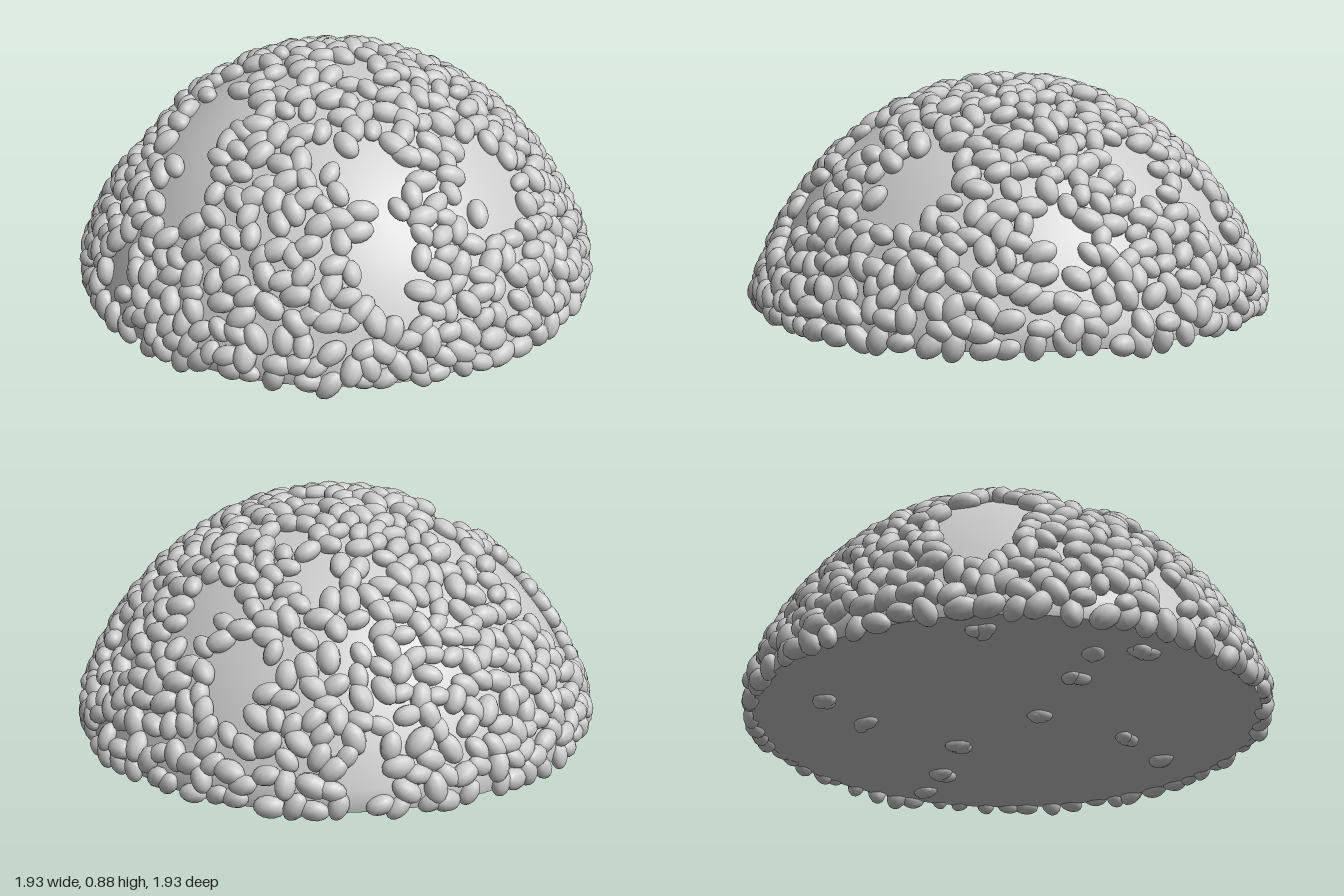
import * as THREE from 'three';
import { mergeGeometries } from 'three/addons/utils/BufferGeometryUtils.js';

// Small seeded generator
let seed = 7;
function rnd() {
  seed = (seed * 1664525 + 1013904223) % 4294967296;
  return seed / 4294967296;
}
const between = (a, b) => a + (b - a) * rnd();

const BASE_Y = 0.05;
const material = new THREE.MeshStandardMaterial({ color: 0xcccccc });

// Dome outline from apex to rim (radius, height)
const outline = new THREE.SplineCurve([
  [0, 0.845], [0.2, 0.822], [0.4, 0.75], [0.6, 0.612], [0.75, 0.445],
  [0.85, 0.28], [0.91, 0.14], [0.928, 0.08], [0.92, BASE_Y],
].map(([r, y]) => new THREE.Vector2(r, y)));

// Bare patches of the dome, seen from above: x, z, radius
const bare = [
  [-0.66, 0.24, 0.17], [-0.26, 0.42, 0.15], [-0.2, 0.64, 0.11], [0, -0.75, 0.1],
  [-0.12, -0.42, 0.08], [0.66, 0.02, 0.13], [0.6, -0.5, 0.07], [0.4, 0.36, 0.12],
  [0.56, 0.52, 0.11], [0.09, 0.02, 0.09], [0.2, -0.58, 0.1], [-0.52, -0.78, 0.1],
  [-0.42, 0.04, 0.08], [-0.4, 0.78, 0.08], [-0.08, 0.2, 0.07], [0.04, -0.3, 0.08],
  [0.42, -0.12, 0.06], [-0.3, 0.2, 0.1],
];

// One egg-shaped seed lying flat on a surface with the given normal
function seedGeometry(position, normal, size = 1, tilt = 0.25) {
  const g = new THREE.SphereGeometry(1, 10, 8);
  const k = size * between(0.88, 1.12);
  g.rotateZ(Math.PI / 2);
  g.scale(0.054 * k, 0.034 * k, 0.038 * k);
  g.rotateX(between(-tilt, tilt));
  g.rotateZ(between(-tilt, tilt));
  g.rotateY(between(0, Math.PI * 2));
  g.applyQuaternion(new THREE.Quaternion().setFromUnitVectors(new THREE.Vector3(0, 1, 0), normal));
  const p = position.clone().addScaledVector(normal, 0.014);
  return g.translate(p.x, p.y, p.z);
}

// Position and outward normal on the dome
function domePoint(t, angle) {
  const p = outline.getPointAt(t);
  const d = outline.getTangentAt(t);
  const c = Math.cos(angle), s = Math.sin(angle);
  return {
    position: new THREE.Vector3(p.x * c, p.y, p.x * s),
    normal: new THREE.Vector3(-d.y * c, d.x, -d.y * s).normalize(),
  };
}

function domeSeeds(count) {
  const list = [], placed = [];
  for (let tries = 0; tries < 12000 && list.length < count; tries++) {
    const t = between(0, 0.95);
    const angle = between(0, Math.PI * 2);
    if (rnd() > outline.getPointAt(t).x / 0.93) continue;
    const { position, normal } = domePoint(t, angle);
    if (bare.some(([x, z, r]) => Math.hypot(position.x - x, position.z - z) < r)) continue;
    if (placed.some((q) => q.distanceTo(position) < 0.057)) continue;
    placed.push(position);
    list.push(seedGeometry(position, normal));
  }
  return list;
}

function rimSeeds(count) {
  return Array.from({ length: count }, (_, i) => {
    const a = ((i + between(-0.3, 0.3)) / count) * Math.PI * 2;
    const position = new THREE.Vector3(0.915 * Math.cos(a), between(0.06, 0.085), 0.915 * Math.sin(a));
    const normal = new THREE.Vector3(Math.cos(a), between(-0.25, 0.1), Math.sin(a)).normalize();
    return seedGeometry(position, normal);
  });
}

// Little clumps under the base: sideways and depth along the diagonals
function baseClumps() {
  const spots = [
    [0.09, 0.8], [0.09, 0.59], [0.09, 0.27], [-0.47, 0], [-0.08, -0.12], [-0.09, -0.46],
    [-0.08, -0.67], [0.48, 0.17], [0.67, 0], [-0.67, 0.17], [-0.23, -0.74], [0.33, -0.73],
  ];
  const down = new THREE.Vector3(0, -1, 0);
  return spots.flatMap(([u, w]) => [0, 1, 2].map(() => seedGeometry(
    new THREE.Vector3(
      (w - u) * Math.SQRT1_2 + between(-0.02, 0.02),
      BASE_Y + 0.013,
      (-u - w) * Math.SQRT1_2 + between(-0.02, 0.02),
    ), down, 0.85)));
}

export function createModel() {
  seed = 7;
  const group = new THREE.Group();
  group.name = 'seededDome';
  const add = (name, geometry) => {
    const mesh = new THREE.Mesh(geometry, material);
    mesh.name = name;
    group.add(mesh);
    return mesh;
  };

  // Smooth dome, turned from rim to apex so it faces outward
  add('dome', new THREE.LatheGeometry(outline.getSpacedPoints(32).reverse(), 64));

  // Flat underside
  const base = add('base', new THREE.CircleGeometry(0.92, 64));
  base.rotation.x = Math.PI / 2;
  base.position.y = BASE_Y;

  // Scattered seeds
  add('domeSeeds', mergeGeometries(domeSeeds(720)));
  add('rimSeeds', mergeGeometries(rimSeeds(64)));
  add('baseSeeds', mergeGeometries(baseClumps()));
  return group;
}
